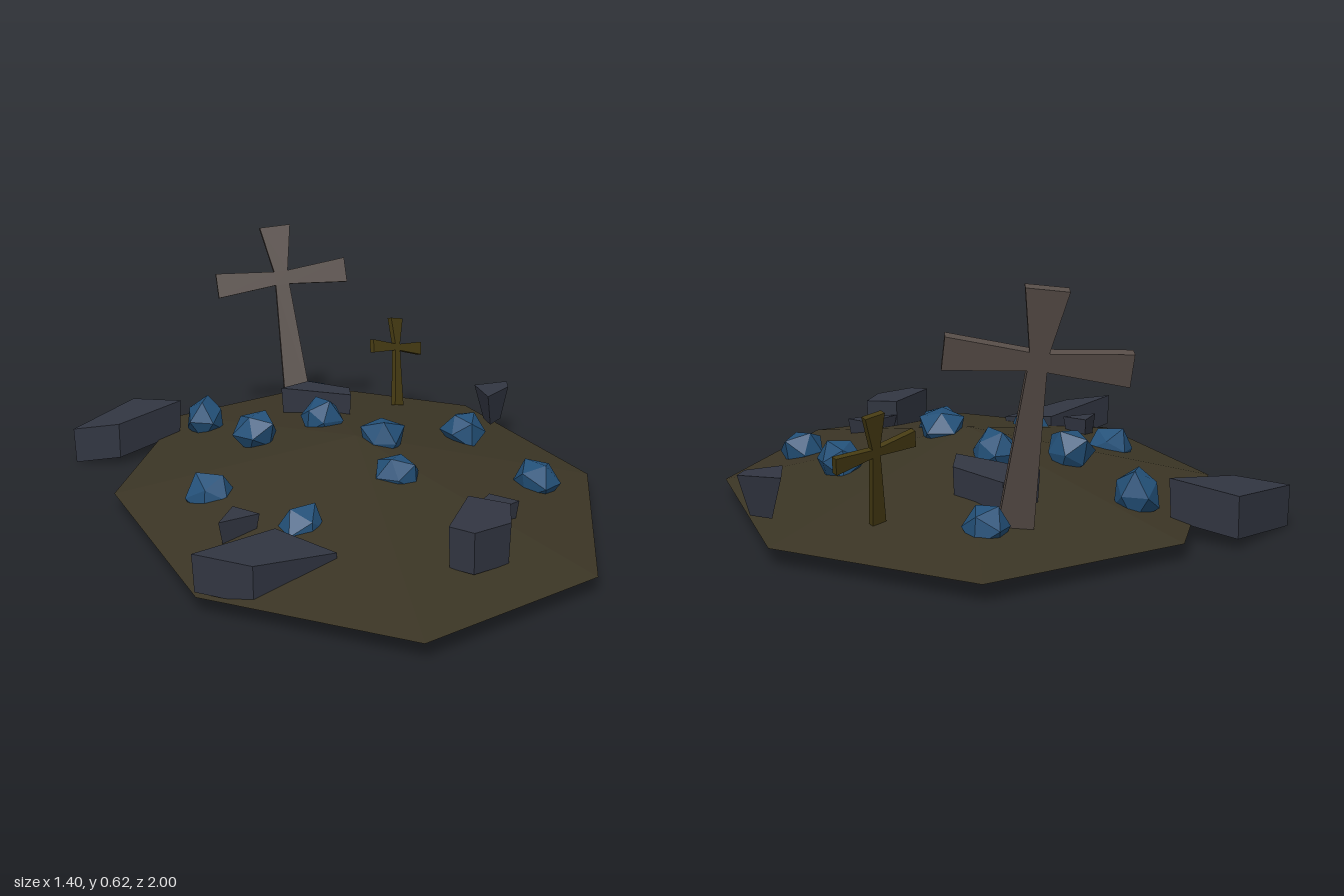
import * as THREE from 'three';

const mat = (color) => new THREE.MeshStandardMaterial({ color, flatShading: true, side: THREE.DoubleSide, roughness: 1 });

function add(parent, name, geometry, material) {
  const mesh = new THREE.Mesh(geometry, material);
  mesh.name = name;
  parent.add(mesh);
  return mesh;
}

// Prism over an [x, z] outline, tilted along x and z, with its foot drawn in
function slabGeometry(outline, bottom, height, tiltX, tiltZ, foot) {
  const shape = new THREE.Shape(outline.map(([x, z]) => new THREE.Vector2(x, -z)));
  const g = new THREE.ExtrudeGeometry(shape, { depth: height, bevelEnabled: false });
  g.rotateX(-Math.PI / 2);
  const n = outline.length;
  const cx = outline.reduce((s, p) => s + p[0], 0) / n;
  const cz = outline.reduce((s, p) => s + p[1], 0) / n;
  const p = g.attributes.position;
  for (let i = 0; i < p.count; i++) {
    const dx = p.getX(i) - cx, dz = p.getZ(i) - cz;
    const k = p.getY(i) < height / 2 ? foot : 1;
    p.setXYZ(i, cx + dx * k, bottom + p.getY(i) + tiltX * dx + tiltZ * dz, cz + dz * k);
  }
  g.computeVertexNormals();
  return g;
}

// Irregular faceted stone; equal corners move together
function stoneGeometry(radius, seed) {
  const g = new THREE.IcosahedronGeometry(radius, 0);
  const p = g.attributes.position;
  const v = new THREE.Vector3();
  for (let i = 0; i < p.count; i++) {
    v.fromBufferAttribute(p, i);
    const q = v.clone().divideScalar(radius);
    v.multiplyScalar(1 + 0.13 * Math.sin(q.x * 5.1 + q.y * 3.7 + q.z * 7.3 + seed * 2.1));
    p.setXYZ(i, v.x, v.y, v.z);
  }
  g.rotateY(seed * 1.3);
  g.computeVertexNormals();
  return g;
}

// Cross with flared arms, centred where the arms meet
function crossGeometry({ arm, up, down, waist, end, foot, depth }) {
  const w = waist / 2, e = end / 2, f = foot / 2;
  const shape = new THREE.Shape([
    [-f, -down], [f, -down], [w, -w], [arm, -e], [arm, e], [w, w],
    [e * 1.25, up], [-e * 1.25, up], [-w, w], [-arm, e], [-arm, -e], [-w, -w],
  ].map(([x, y]) => new THREE.Vector2(x, y)));
  const g = new THREE.ExtrudeGeometry(shape, { depth, bevelEnabled: false });
  return g.translate(0, 0, -depth / 2);
}

export function createModel() {
  const model = new THREE.Group();
  model.name = 'graveMound';

  // Low open mound with eight sides
  const mound = add(model, 'mound', new THREE.ConeGeometry(1, 0.135, 8, 1, true), mat(0x3b3525));
  mound.scale.set(0.64, 1, 1);
  mound.position.set(0.06, 0.1075, 0);

  // Blue stones: x, y, z, radius
  const stones = new THREE.Group();
  stones.name = 'stones';
  model.add(stones);
  const stoneMat = mat(0x235078);
  [
    [-0.32, 0.1, -0.47, 0.062], [0.04, 0.085, -0.71, 0.06], [-0.19, 0.14, -0.17, 0.063],
    [0, 0.155, -0.24, 0.06], [0.39, 0.125, -0.17, 0.063], [0.13, 0.165, 0.01, 0.062],
    [-0.335, 0.08, 0.16, 0.062], [0.13, 0.14, 0.23, 0.062], [0.51, 0.08, 0.16, 0.062],
    [-0.13, 0.087, 0.44, 0.06],
  ].forEach(([x, y, z, r], i) => {
    add(stones, 'stone', stoneGeometry(r, i + 1), stoneMat).position.set(x, y, z);
  });

  // Dark slabs: outline, bottom at centre, height, tilt x, tilt z, foot scale
  const slabs = new THREE.Group();
  slabs.name = 'slabs';
  model.add(slabs);
  const slabMat = mat(0x323642);
  [
    [[[-0.7, -0.4], [-0.57, -0.37], [-0.39, -0.51], [-0.53, -0.62]], 0.022, 0.1, 0.14, 0, 0.97],
    [[[-0.4, 0.71], [-0.27, 0.75], [-0.07, 0.62], [-0.2, 0.5]], 0.028, 0.09, -0.15, 0, 0.97],
    [[[0.17, 0.69], [0.22, 0.73], [0.32, 0.66], [0.35, 0.53], [0.26, 0.48]], 0.065, 0.1, -0.06, 0, 0.95],
    [[[-0.09, -0.52], [0.1, -0.38], [0.11, -0.49], [0, -0.62]], 0.075, 0.095, 0, 0.08, 0.95],
    [[[0.51, -0.39], [0.59, -0.47], [0.6, -0.53], [0.5, -0.53]], 0.06, 0.1, 0.08, 0, 0.5],
    [[[-0.33, 0.48], [-0.23, 0.43], [-0.29, 0.37]], 0.04, 0.085, 0, 0, 0.7],
    [[[0.26, 0.48], [0.35, 0.46], [0.4, 0.42], [0.34, 0.36]], 0.05, 0.075, 0, 0, 0.8],
  ].forEach((s) => add(slabs, 'slab', slabGeometry(...s), slabMat));

  // Leaning grave crosses
  const large = add(model, 'largeCross', crossGeometry({
    arm: 0.2, up: 0.16, down: 0.39, waist: 0.042, end: 0.075, foot: 0.08, depth: 0.03,
  }), mat(0x564c47));
  large.position.set(-0.065, 0.455, -0.765);
  large.rotation.set(-0.23, 0, 0.105);

  const small = add(model, 'smallCross', crossGeometry({
    arm: 0.103, up: 0.09, down: 0.18, waist: 0.02, end: 0.04, foot: 0.036, depth: 0.016,
  }), mat(0x453a12));
  small.position.set(0.282, 0.245, -0.677);
  small.rotation.set(-0.25, 0.64, -0.2, 'YXZ');

  return model;
}
